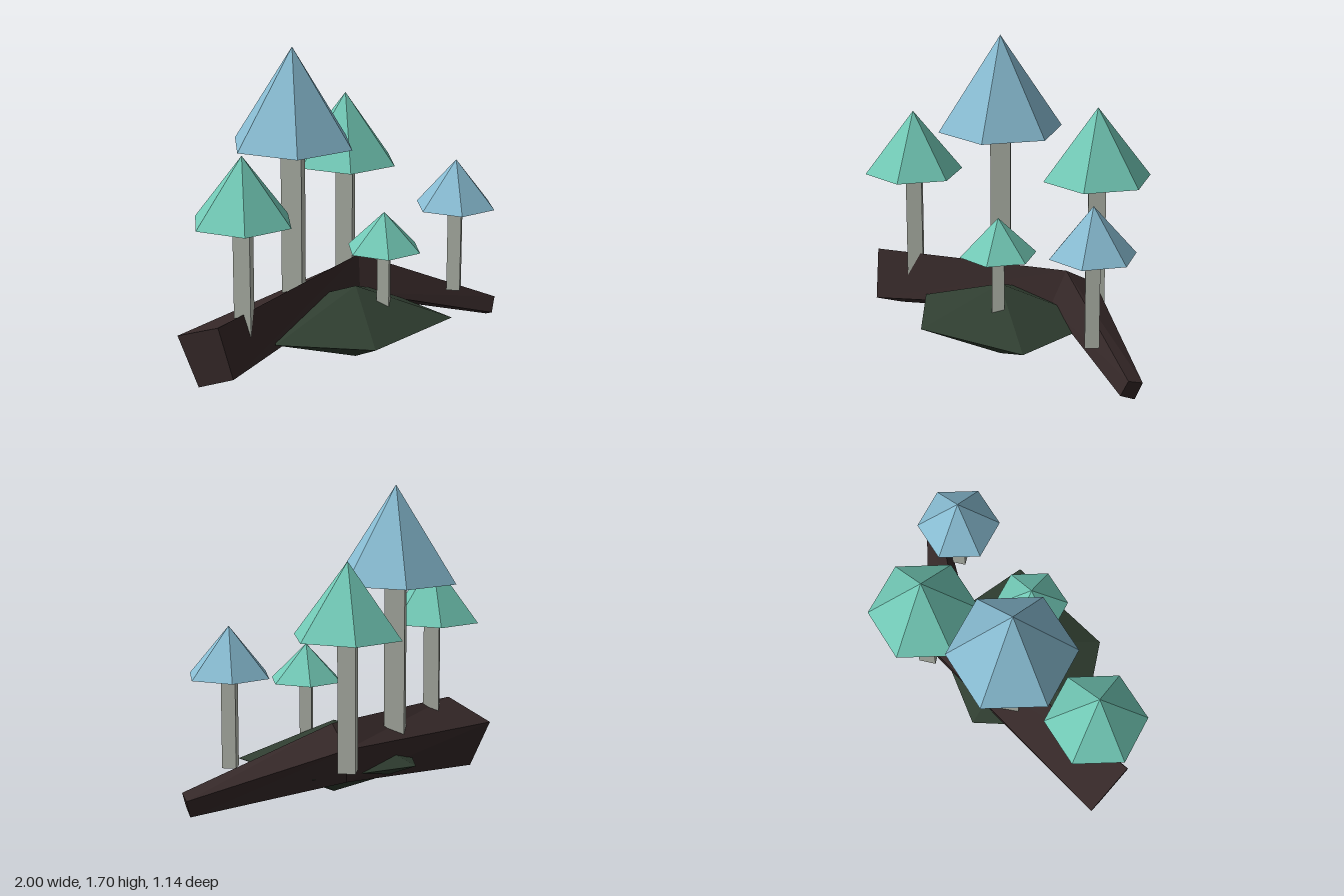
import * as THREE from 'three';

const paint = (name, color, side = THREE.FrontSide) =>
  new THREE.MeshStandardMaterial({ name, color, side, flatShading: true });

// Flat-faced mesh from a list of triangles, each three [x, y, z] corners
function faceted(name, triangles, material) {
  const geometry = new THREE.BufferGeometry();
  geometry.setAttribute('position', new THREE.Float32BufferAttribute(triangles.flat(2), 3));
  geometry.computeVertexNormals();
  const mesh = new THREE.Mesh(geometry, material);
  mesh.name = name;
  return mesh;
}

// Bent four-sided log lofted through rings of top, back, bottom, front corners
function makeLog(material) {
  const rings = [
    [[-0.925, 0.395, 0.25], [-1, 0.283, -0.03], [-0.94, 0.016, 0.07], [-0.877, 0.123, 0.31]],
    [[0.225, 0.468, -0.125], [0.27, 0.365, -0.305], [0.24, 0.18, -0.27], [0.18, 0.27, -0.05]],
    [[0.97, 0.15, 0.18], [0.995, 0.125, 0.1], [0.96, 0.03, 0.12], [0.935, 0.065, 0.2]],
  ];
  const tris = [];
  for (let i = 0; i < rings.length - 1; i++) {
    for (let j = 0; j < 4; j++) {
      const k = (j + 1) % 4;
      const [a, b, c, d] = [rings[i][j], rings[i][k], rings[i + 1][k], rings[i + 1][j]];
      tris.push([a, d, c], [a, c, b]);
    }
  }
  const [s, , e] = rings;
  tris.push([s[0], s[1], s[2]], [s[0], s[2], s[3]], [e[0], e[2], e[1]], [e[0], e[3], e[2]]);
  return faceted('log', tris, material);
}

// Irregular five-sided double pyramid
function makeRock(material) {
  const rim = [[0.455, 0.42], [-0.175, 0.57], [-0.555, 0.21], [-0.2, -0.31], [0.41, -0.2]]
    .map(([x, z]) => [x, 0.205, z]);
  const top = [0, 0.405, 0.155], bottom = [0, 0, 0.155];
  const tris = [];
  rim.forEach((v, i) => {
    const w = rim[(i + 1) % rim.length];
    tris.push([top, w, v], [bottom, v, w]);
  });
  return faceted('rock', tris, material);
}

// Square stem under an open six-sided cap
function makeMushroom({ x, z, rim, tip, capRadius, stemRadius }, capMaterial, stemMaterial) {
  const group = new THREE.Group();
  group.name = 'mushroom';
  group.position.set(x, 0, z);

  const height = tip - rim;
  const cap = new THREE.Mesh(
    new THREE.ConeGeometry(capRadius, height, 6, 1, true).rotateY(Math.PI / 6), capMaterial);
  cap.name = 'cap';
  cap.position.y = rim + height / 2;

  const foot = 0.25, head = rim + height * 0.5;
  const stem = new THREE.Mesh(
    new THREE.CylinderGeometry(stemRadius, stemRadius, head - foot, 4), stemMaterial);
  stem.name = 'stem';
  stem.position.y = (foot + head) / 2;

  group.add(cap, stem);
  return group;
}

export function createModel() {
  const bark = paint('dark bark', 0x352828);
  const moss = paint('dark moss', 0x2f3d30);
  const stemGrey = paint('stem grey', 0xb9beb3);
  const green = paint('cap green', 0x72c9b6, THREE.DoubleSide);
  const blue = paint('cap blue', 0x88bcd2, THREE.DoubleSide);

  const model = new THREE.Group();
  model.name = 'mushroomLog';
  model.add(makeLog(bark), makeRock(moss));

  const mushrooms = [
    { x: -0.243, z: -0.08, rim: 1.18, tip: 1.7, capRadius: 0.345, stemRadius: 0.078, color: blue },
    { x: 0.267, z: -0.313, rim: 0.96, tip: 1.352, capRadius: 0.3, stemRadius: 0.067, color: green },
    { x: -0.707, z: 0.152, rim: 0.888, tip: 1.235, capRadius: 0.275, stemRadius: 0.062, color: green },
    { x: 0.686, z: 0.152, rim: 0.738, tip: 1.002, capRadius: 0.23, stemRadius: 0.053, color: blue },
    { x: 0.105, z: 0.265, rim: 0.625, tip: 0.828, capRadius: 0.207, stemRadius: 0.046, color: green },
  ];
  for (const m of mushrooms) model.add(makeMushroom(m, m.color, stemGrey));
  return model;
}
